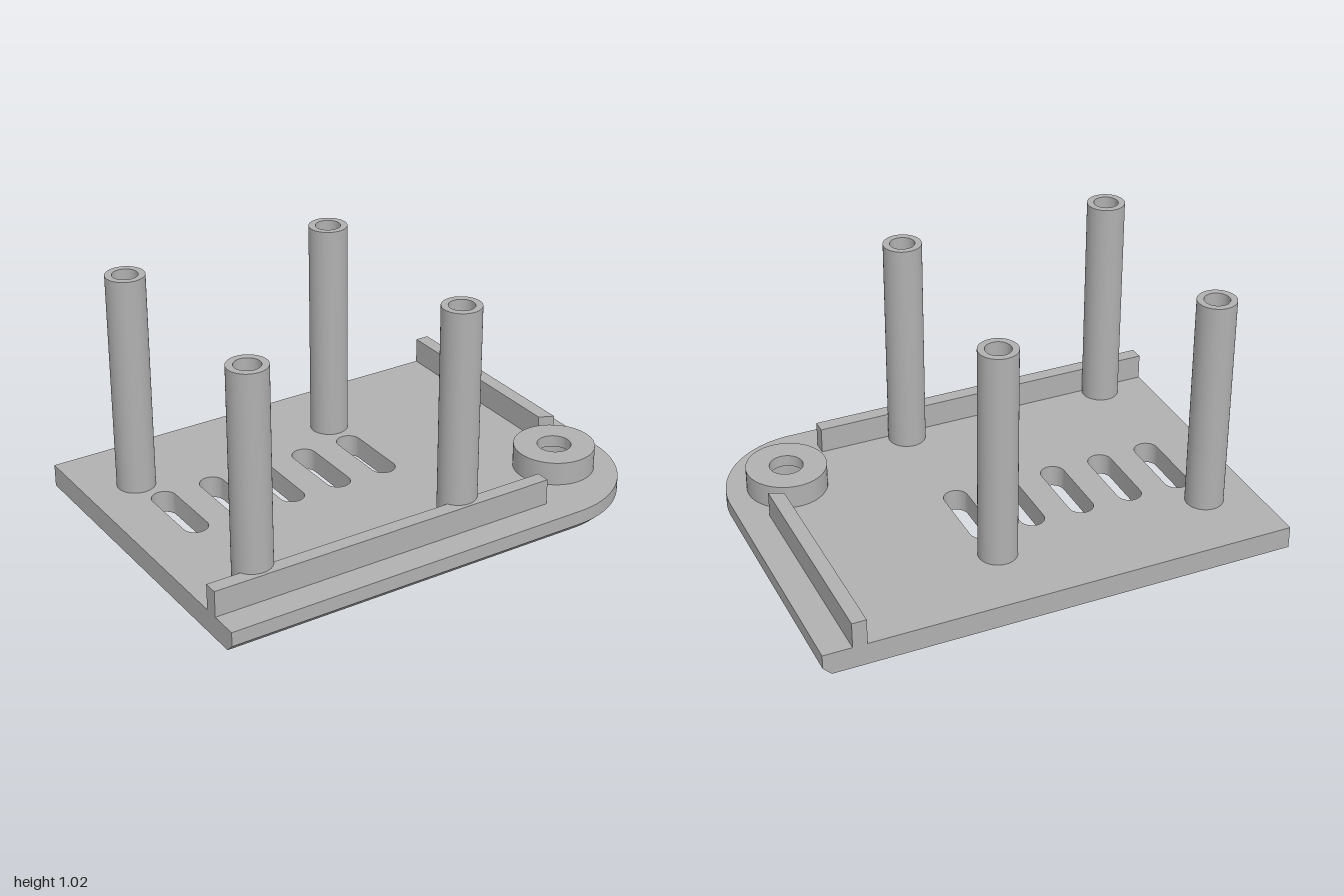
import * as THREE from 'three';
import { toCreasedNormals } from 'three/addons/utils/BufferGeometryUtils.js';

const PLATE_TOP = 0.095, CHAMFER = 0.035, WALL_TOP = 0.205;
const CORNER = { x: 0.6, z: 0.34, r: 0.4 };
const BOSS = { x: 0.74, z: 0.38 };

// Extrudes an outline drawn in (x, z) upwards from y0 to y1
function extrudeUp(shape, y0, y1, steps = 1) {
  const g = new THREE.ExtrudeGeometry(shape, { depth: y1 - y0, steps, bevelEnabled: false, curveSegments: 24 });
  g.rotateX(Math.PI / 2);
  g.translate(0, y1, 0);
  return g;
}

// Turned part with crisp profile corners
function turned(profile) {
  const points = profile.map(([r, y]) => new THREE.Vector2(r, y));
  return toCreasedNormals(new THREE.LatheGeometry(points, 48), 0.5);
}

// Vent slot with round ends
function slotPath(x, z0, z1, r) {
  const p = new THREE.Path();
  p.moveTo(x + r, z0 + r);
  p.lineTo(x + r, z1 - r);
  p.absarc(x, z1 - r, r, 0, Math.PI, false);
  p.lineTo(x - r, z0 + r);
  p.absarc(x, z0 + r, r, Math.PI, Math.PI * 2, false);
  return p;
}

function plateGeometry() {
  const s = new THREE.Shape();
  s.moveTo(-1, -0.74);
  s.lineTo(1, -0.74);
  s.lineTo(1, CORNER.z);
  s.absarc(CORNER.x, CORNER.z, CORNER.r, 0, Math.PI / 2, false);
  s.lineTo(-1, 0.74);
  s.closePath();
  for (let i = 0; i < 5; i++) s.holes.push(slotPath(-0.745 + i * 0.221, -0.305, 0.06, 0.052));
  s.holes.push(new THREE.Path().absarc(BOSS.x, BOSS.z, 0.125, 0, Math.PI * 2, false));

  // Middle ring drops to the chamfer line; the bottom front and side rim moves inward
  const g = extrudeUp(s, 0, PLATE_TOP, 2);
  const p = g.attributes.position;
  for (let i = 0; i < p.count; i++) {
    const x = p.getX(i), y = p.getY(i), z = p.getZ(i);
    if (y > 0.01 && y < PLATE_TOP - 0.01) p.setY(i, CHAMFER);
    if (y < 0.01) {
      const dx = Math.max(x - CORNER.x, 0), dz = Math.max(z - CORNER.z, 0);
      if (Math.hypot(dx, dz) > CORNER.r - 0.002) {
        const k = CHAMFER / CORNER.r;
        p.setX(i, x - dx * k);
        p.setZ(i, z - dz * k);
      }
    }
  }
  return toCreasedNormals(g, 0.5);
}

export function createModel() {
  const model = new THREE.Group();
  model.name = 'enclosureBase';
  const grey = new THREE.MeshStandardMaterial({ color: 0xb0b0b0 });
  grey.name = 'grey plastic';

  const add = (name, geometry, x = 0, z = 0) => {
    const mesh = new THREE.Mesh(geometry, grey);
    mesh.name = name;
    mesh.position.set(x, 0, z);
    model.add(mesh);
  };

  // Base plate with vents and a countersunk hole
  add('basePlate', plateGeometry());

  // Locating walls
  const wall = (corners) =>
    extrudeUp(new THREE.Shape(corners.map(([x, z]) => new THREE.Vector2(x, z))), PLATE_TOP, WALL_TOP);
  add('frontWall', wall([[-1, 0.56], [0.52, 0.56], [0.52, 0.62], [-1, 0.62]]));
  add('leftWall', wall([[0.82, -0.74], [0.88, -0.74], [0.88, 0.2], [0.82, 0.172]]));

  // Screw boss, wider inside from below
  add('screwBoss', turned([[0.168, PLATE_TOP], [0.168, 0.195], [0.07, 0.195],
    [0.07, 0.145], [0.125, 0.145], [0.125, PLATE_TOP]]), BOSS.x, BOSS.z);

  // Hollow standoff posts
  const post = turned([[0.08, PLATE_TOP], [0.08, 1.025], [0.052, 1.025], [0.052, 0.1], [0, 0.1]]);
  for (const x of [-0.785, 0.145])
    for (const z of [-0.418, 0.525])
      add((z > 0 ? 'front' : 'back') + (x > 0 ? 'Left' : 'Right') + 'Post', post, x, z);

  return model;
}
